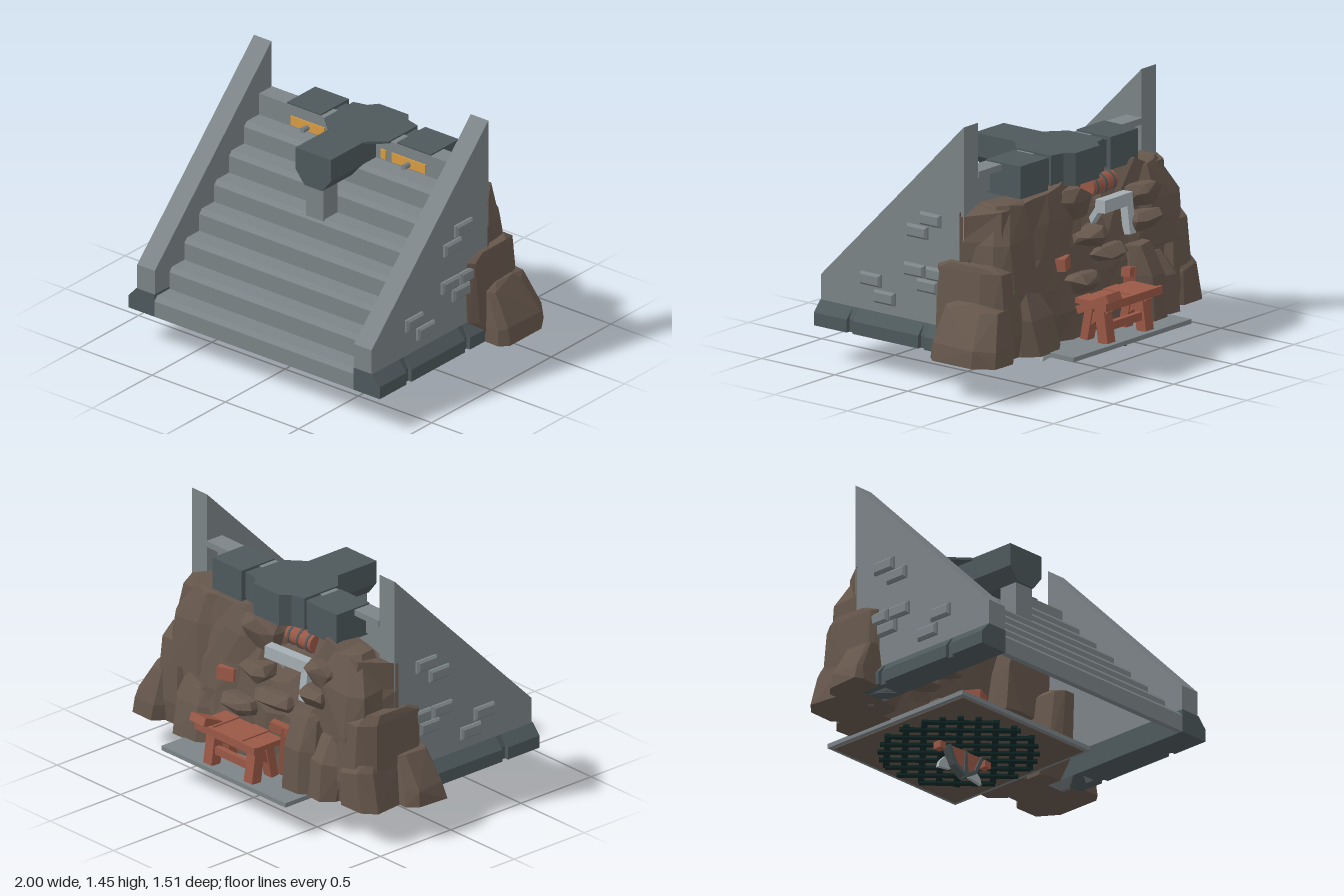
import * as THREE from 'three';
import { ConvexGeometry } from 'three/addons/geometries/ConvexGeometry.js';

const mat = (name, color, side = THREE.FrontSide) => {
  const m = new THREE.MeshStandardMaterial({ color, side });
  m.name = name;
  return m;
};

export function createModel() {
  const root = new THREE.Group();
  root.name = 'stairsOverRock';
  const stone = mat('stone', 0x7c8487), dark = mat('darkStone', 0x4e595c);
  const rock = mat('rock', 0x66574c, THREE.DoubleSide), wood = mat('redWood', 0x9a5846);
  const gold = mat('gold', 0xd99c42), metal = mat('paleMetal', 0xa6b0b4), iron = mat('grateIron', 0x102b2a);

  let seed = 7;
  const rnd = () => ((seed = (seed * 16807) % 2147483647) / 2147483647) - 0.5;
  const add = (name, geo, m) => {
    const mesh = new THREE.Mesh(geo, m);
    mesh.name = name;
    root.add(mesh);
    return mesh;
  };
  const box = (name, w, h, d, x, y, z, m) => {
    const b = add(name, new THREE.BoxGeometry(w, h, d), m);
    b.position.set(x, y, z);
    return b;
  };
  // Square beam between two points
  const beam = (name, a, b, w, h, m) => {
    const p = new THREE.Vector3(...a), q = new THREE.Vector3(...b);
    const s = add(name, new THREE.BoxGeometry(w, h, p.distanceTo(q)), m);
    s.position.copy(p).lerp(q, 0.5);
    s.lookAt(q);
  };
  const prism = (pts, depth) => new THREE.ExtrudeGeometry(
    new THREE.Shape(pts.map(p => new THREE.Vector2(...p))), { depth, bevelEnabled: false });
  const prismX = (pts, x0, x1) => prism(pts, x1 - x0).rotateY(-Math.PI / 2).translate(x1, 0, 0); // [z, y]
  const prismY = (pts, y0, y1) => prism(pts, y1 - y0).rotateX(Math.PI / 2).translate(0, y1, 0);  // [x, z]
  const prismZ = (pts, z0, z1) => prism(pts, z1 - z0).translate(0, 0, z0);                        // [x, y]
  const mirror = half => [...half, ...half.slice().reverse().map(([x, y]) => [-x, y])];

  // Flight of eight steps with bevelled nosings and a stepped underside
  const top = [[0.76, 0.2]];
  for (let i = 0; i < 8; i++) {
    const z = 0.76 - i * 0.125, y = 0.317 + i * 0.1235;
    if (i < 7) top.push([z, y - 0.025], [z - 0.022, y], [z - 0.125, y]);
    else top.push([z, y], [-0.225, y]);
  }
  const under = top.slice(1, -1).reverse().map(([z, y]) => [z - 0.03, y - 0.035]);
  add('steps', prismX([...top, [-0.225, 1.147], ...under, [0.73, 0.2]], -0.68, 0.68), stone);

  // Side walls, plinths and raised bricks
  const bricks = [[0, 0.905], [0.09, 0.825], [0.11, 0.61], [-0.04, 0.61], [0.02, 0.535], [0.41, 0.505], [0.315, 0.42]];
  const brickGeo = new THREE.ExtrudeGeometry(
    new THREE.Shape([[-0.058, -0.023], [0.058, -0.023], [0.058, 0.023], [-0.058, 0.023]].map(p => new THREE.Vector2(...p))),
    { depth: 0.012, bevelSize: 0.012, bevelThickness: 0.012, bevelSegments: 1 }).rotateY(Math.PI / 2);
  const section = (o, s) => [[0.68, 0.2], [o, 0.2], [o, 0.27], [0.805, 0.33], [0.68, 0.33]].map(([x, y]) => [x * s, y]);
  for (const s of [1, -1]) {
    const [a, b] = s > 0 ? [0.68, 0.8] : [-0.8, -0.68];
    add('sideWall', prismX([[0.757, 0.33], [0.757, 0.47], [-0.22, 1.45], [-0.22, 0.2], [0, 0.2], [0, 0.33]], a, b), stone);
    add('plinthCore', prismZ(section(0.835, s), -0.15, 0.755), dark);
    for (const [z0, z1] of [[0.535, 0.76], [0.045, 0.495], [-0.15, 0.005]])
      add('plinthBlock', prismZ(section(0.858, s), z0, z1), dark);
    for (const [z, y] of bricks) add('wallBrick', brickGeo, stone).position.set(s * 0.801 - (s < 0 ? 0.012 : 0), y, z);
  }

  // Dark crosspiece at the head of the stairs, its neck a thin cap over the top riser
  add('crossCentre', prismY(mirror([[0.1, -0.41], [0.14, -0.36], [0.22, -0.34], [0.22, -0.118]]), 1.01, 1.19), dark);
  add('crossCap', prismY(mirror([[0.22, -0.13], [0.22, -0.1], [0.12, -0.01]]), 1.176, 1.19), dark);
  add('crossFront', prismZ(mirror([[0.06, 0.985], [0.12, 1.06], [0.12, 1.188]]), -0.13, 0.265), dark);
  box('frontPost', 0.12, 0.2, 0.115, 0, 0.9, 0.193, stone);
  for (const s of [1, -1]) {
    box('crossNeck', 0.06, 0.15, 0.2, s * 0.24, 1.1, -0.225, dark);
    box('crossArm', 0.23, 0.18, 0.235, s * 0.375, 1.1, -0.2355, dark);
    // Gold plates with a small knob on the top riser
    box('goldPlate', 0.23, 0.055, 0.008, s * 0.345, 1.094, -0.112, gold);
    box('goldPlateSmall', 0.035, 0.055, 0.008, s * 0.172, 1.094, -0.112, gold);
    const knob = add('knob', new THREE.CylinderGeometry(0.017, 0.017, 0.045, 6), stone);
    knob.rotation.x = Math.PI / 2;
    knob.position.set(s * 0.345, 1.088, -0.087);
  }

  // Main rock mass: a jittered sheet between the walls' back edges
  const nx = 13, ny = 6, pts = [];
  for (let i = 0; i <= nx; i++) for (let j = 0; j <= ny; j++) {
    const u = (i / nx) * 2 - 1, v = Math.min(j / (ny - 1), 1), edge = i === 0 || i === nx;
    const hollow = Math.exp(-((u + 0.22) ** 2) / 0.06) * Math.max(0, v - 0.45) * 0.28;
    const depth = 0.27 - 0.09 * v * v - hollow + rnd() * 0.05;
    const h = 0.82 - 0.05 * u * u + 0.02 * Math.sin(u * 9);
    pts.push([u * 0.81 + (edge ? 0 : rnd() * 0.05), 0.2 + v * h + (j && j < ny ? rnd() * 0.05 : 0),
      edge || j === ny ? -0.2 : -0.2 - depth * (1 - 0.25 * u ** 6)]);
  }
  const pos = [], at = (i, j) => pts[i * (ny + 1) + j];
  for (let i = 0; i < nx; i++) for (let j = 0; j < ny; j++) {
    const [a, b, c, d] = [at(i, j), at(i, j + 1), at(i + 1, j + 1), at(i + 1, j)];
    pos.push(...a, ...b, ...d, ...b, ...c, ...d);
  }
  const mound = new THREE.BufferGeometry();
  mound.setAttribute('position', new THREE.Float32BufferAttribute(pos, 3));
  mound.computeVertexNormals();
  add('rockFace', mound, rock);

  // Crags: hulls of stacked levels [y, x0, x1, z0, z1] with cut corners
  const crag = (name, levels, j = 0.03) => {
    const p = [];
    for (const [y, x0, x1, z0, z1] of levels)
      for (const [a, b] of [[0, 0.2], [0.25, 0], [0.75, 0], [1, 0.25], [1, 0.9], [0.85, 1], [0.15, 1], [0, 0.9]])
        p.push(new THREE.Vector3(x0 + (x1 - x0) * a + rnd() * j, y + (y > 0.21 ? rnd() * j : 0), z0 + (z1 - z0) * b + rnd() * j));
    add(name, new ConvexGeometry(p), rock);
  };
  for (const s of [1, -1]) {
    const side = l => l.map(([y, a, b, c, d]) => [y, Math.min(s * a, s * b), Math.max(s * a, s * b), c, d]);
    crag('sideCrag', side([[0.2, 0.55, 0.87, -0.48, -0.13], [0.32, 0.55, 0.85, -0.49, -0.04], [0.67, 0.58, 0.83, -0.46, -0.035], [0.71, 0.62, 0.82, -0.4, -0.12]]), 0.012);
    crag('upperCrag', side([[0.55, 0.4, 0.79, -0.47, -0.22], [0.82, 0.42, 0.76, -0.45, -0.22], [1.0, 0.46, 0.66, -0.37, -0.23]]));
    crag('lowerCrag', side([[0.2, 0.32, 0.66, -0.55, -0.25], [0.4, 0.35, 0.66, -0.53, -0.25], [0.54, 0.42, 0.6, -0.45, -0.25]]));
  }
  // Foot boulders
  crag('leftBoulder', [[0.2, 0.7, 1.0, -0.53, -0.12], [0.29, 0.69, 0.98, -0.53, -0.13], [0.48, 0.7, 0.88, -0.48, -0.15], [0.51, 0.72, 0.86, -0.4, -0.2]], 0.015);
  crag('rightBoulder', [[0.2, -1.0, -0.75, -0.27, -0.01], [0.29, -0.98, -0.75, -0.26, -0.02], [0.46, -0.88, -0.74, -0.24, -0.05]], 0.015);
  crag('rightBoulderBack', [[0.2, -0.9, -0.62, -0.5, -0.2], [0.4, -0.86, -0.62, -0.49, -0.2], [0.5, -0.8, -0.66, -0.42, -0.22]]);
  crag('frontBoulder', [[0.2, -0.52, -0.26, -0.59, -0.3], [0.45, -0.5, -0.27, -0.58, -0.3], [0.6, -0.45, -0.28, -0.5, -0.3]]);
  // Thin ledges jutting out around the hollow: x, y, z, width, height, depth
  for (const [x, y, z, w, h, d] of [[0.04, 0.72, -0.42, 0.22, 0.07, 0.2], [0.1, 0.9, -0.34, 0.26, 0.16, 0.2], [-0.45, 0.85, -0.4, 0.2, 0.1, 0.18],
    [-0.42, 0.71, -0.42, 0.22, 0.09, 0.2], [-0.12, 0.6, -0.43, 0.26, 0.07, 0.18], [0.12, 0.5, -0.46, 0.24, 0.08, 0.2]])
    crag('ledge', [[y - h / 2, x - w * 0.4, x + w * 0.4, z - d * 0.3, z + d / 2], [y + h * 0.2, x - w / 2, x + w / 2, z - d / 2, z + d / 2], [y + h / 2, x - w * 0.35, x + w * 0.35, z - d * 0.35, z + d * 0.3]], 0.04);

  // Wooden bench
  for (let i = 0; i < 4; i++)
    box('benchPlank', 0.112, 0.03, 0.2 + 0.01 * (i % 2), -0.185 + i * 0.116, 0.42 + 0.005 * (i % 2), -0.61, wood);
  box('benchFrontBoard', 0.47, 0.045, 0.02, -0.01, 0.42, -0.712, wood);
  for (const x of [-0.17, 0.15]) {
    beam('benchLeg', [x, 0.205, -0.665], [x, 0.41, -0.635], 0.065, 0.065, wood);
    beam('benchLeg', [x, 0.205, -0.53], [x, 0.41, -0.57], 0.06, 0.05, wood);
    beam('benchBrace', [x, 0.29, -0.53], [x, 0.4, -0.68], 0.04, 0.05, wood);
  }
  beam('benchRail', [-0.17, 0.29, -0.655], [0.15, 0.29, -0.655], 0.03, 0.045, wood);
  beam('loosePlank', [0.18, 0.38, -0.53], [0.18, 0.475, -0.74], 0.115, 0.045, wood);

  // Timber and metal scraps stuck in the rock
  beam('timber', [0.31, 0.62, -0.34], [0.25, 0.63, -0.48], 0.1, 0.07, wood);
  beam('timber', [-0.24, 0.24, -0.5], [-0.25, 0.5, -0.49], 0.06, 0.06, wood);
  beam('timber', [-0.3, 0.47, -0.48], [-0.17, 0.5, -0.53], 0.05, 0.05, wood);
  beam('metalBeam', [-0.345, 0.85, -0.4], [-0.055, 0.87, -0.45], 0.06, 0.07, metal);
  beam('metalPost', [-0.325, 0.66, -0.43], [-0.325, 0.86, -0.405], 0.05, 0.05, metal);
  beam('metalStrut', [-0.09, 0.76, -0.36], [-0.07, 0.86, -0.44], 0.035, 0.035, metal);
  const roller = (name, r, l, x, m) => {
    const c = add(name, new THREE.CylinderGeometry(r, r, l, 10), m);
    c.rotation.z = Math.PI / 2;
    c.position.set(x, 0.945, -0.32);
  };
  roller('barrel', 0.055, 0.2, -0.2, wood);
  for (const x of [-0.27, -0.2, -0.13]) roller('barrelBand', 0.059, 0.014, x, dark);

  // Base plate, dark soil beneath it and the round lattice grate
  box('basePlate', 0.98, 0.025, 0.985, 0, 0.193, -0.225, stone);
  box('soilPanel', 0.93, 0.006, 0.935, 0, 0.178, -0.225, rock);
  for (let k = -4; k <= 4; k++) {
    const o = k * 0.095, l = 2 * Math.sqrt(0.43 ** 2 - o * o), c = Math.SQRT1_2;
    for (const s of [1, -1])
      box('grateBar', l, 0.014, 0.034, o * c * s, s > 0 ? 0.168 : 0.16, -0.225 + o * c, iron).rotation.y = s * Math.PI / 4;
  }

  // Hanging pointed ornament with pale wings
  add('pendant', prismZ(mirror([[0, 0.025], [0.06, 0.06], [0.11, 0.155]]), -0.215, -0.175), wood);
  add('pendantSpine', prismZ(mirror([[0, 0.005], [0.014, 0.03], [0.008, 0.155]]), -0.222, -0.168), dark);
  for (const s of [1, -1]) {
    beam('pendantRim', [s * 0.125, 0.155, -0.195], [s * 0.075, 0.055, -0.195], 0.05, 0.02, dark);
    beam('pendantRim', [s * 0.08, 0.06, -0.195], [s * 0.005, 0.016, -0.195], 0.05, 0.02, dark);
    box('pendantLug', 0.045, 0.04, 0.05, s * 0.172, 0.137, -0.2, wood);
    const wing = [[0.07, 0.04], [0.165, 0.025], [0.155, 0.06], [0.115, 0.1]].map(([x, y]) => [x * s, y]);
    add('pendantWing', prismZ(wing, -0.235, -0.215), metal);
  }
  return root;
}
